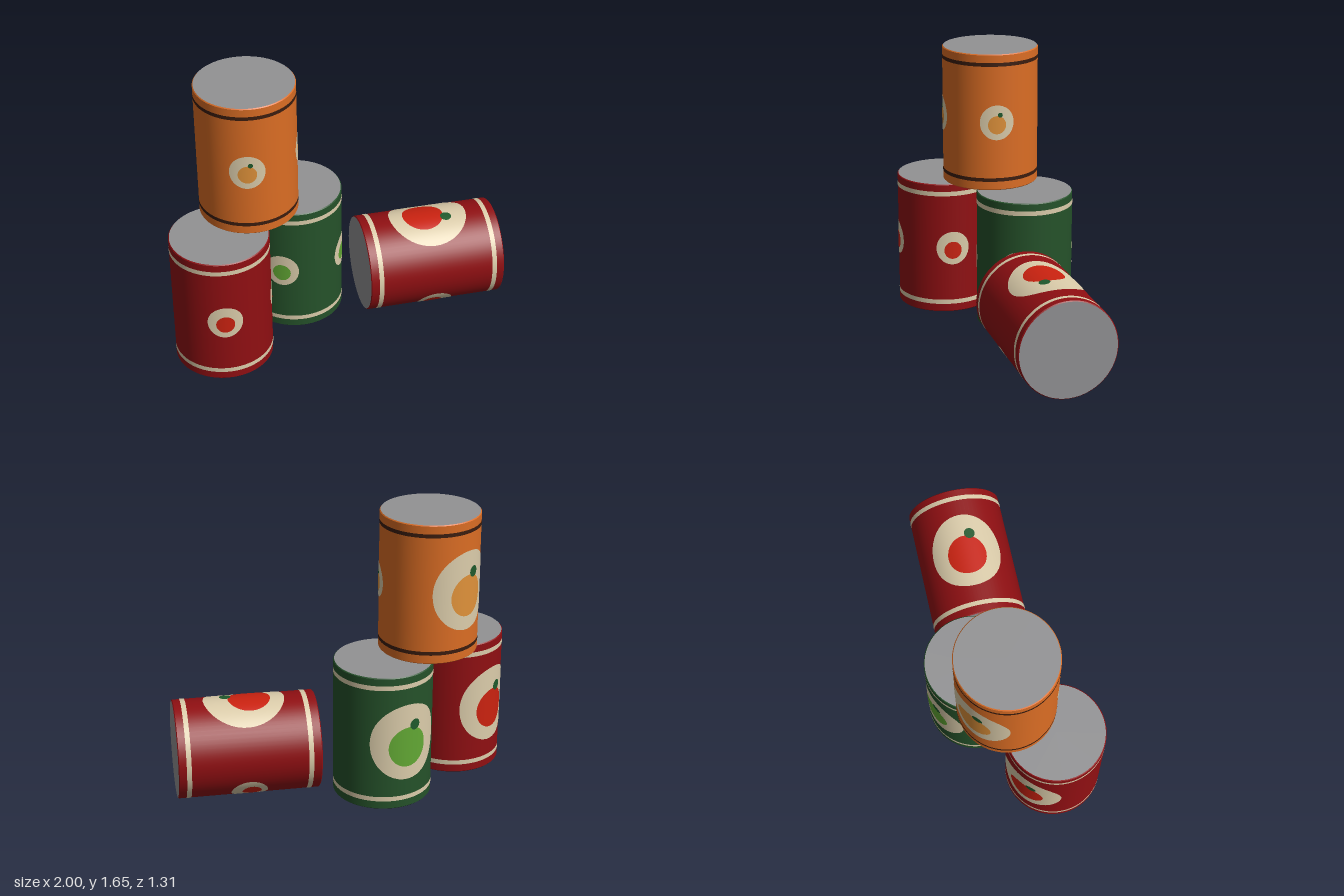
import * as THREE from 'three';

const R = 0.284, H = 0.818, BEVEL = 0.005, SEG = 72;

const paint = (name, color) => {
  const m = new THREE.MeshStandardMaterial({ color });
  m.name = name;
  return m;
};

// Wraps a flat disc around the can wall: x becomes arc length, y stays height.
function wrappedDisc(rx, ry, angle, dx, y, lift) {
  const geo = new THREE.RingGeometry(0, 1, 48, 8);
  const pos = geo.attributes.position, nor = geo.attributes.normal;
  const r = R + lift;
  for (let i = 0; i < pos.count; i++) {
    const a = angle + (pos.getX(i) * rx + dx) / R;
    const h = y + pos.getY(i) * ry;
    pos.setXYZ(i, r * Math.sin(a), h, r * Math.cos(a));
    nor.setXYZ(i, Math.sin(a), 0, Math.cos(a));
  }
  return geo;
}

export function createModel() {
  const red = paint('can red', 0x900f12);
  const green = paint('can green', 0x25522a);
  const orange = paint('can orange', 0xdb6d24);
  const cream = paint('label cream', 0xdccdab);
  const brown = paint('stripe brown', 0x3c1d0e);
  const metal = paint('lid grey', 0x929294);
  const redFruit = paint('fruit red', 0xcb2210);
  const greenFruit = paint('fruit green', 0x62a834);
  const orangeFruit = paint('fruit orange', 0xe0923a);
  const leaf = paint('leaf green', 0x1f5a2c);

  const add = (parent, name, geo, mat) => {
    const mesh = new THREE.Mesh(geo, mat);
    mesh.name = name;
    parent.add(mesh);
    return mesh;
  };

  // Badge: cream oval, fruit and leaf, stacked in thin layers
  function addBadge(can, name, angle, s, fruit, withLeaf) {
    const badge = new THREE.Group();
    badge.name = name;
    const y = H / 2 + 0.003;
    add(badge, 'badgeOval', wrappedDisc(0.225 * s, 0.233 * s, angle, 0, y, 0.002), cream);
    add(badge, 'fruit', wrappedDisc(0.118 * s, 0.122 * s, angle, 0, y - 0.03 * s, 0.0035), fruit);
    if (withLeaf) {
      add(badge, 'leaf', wrappedDisc(0.032 * s, 0.033 * s, angle, 0.04 * s, y + 0.103 * s, 0.005), leaf);
    }
    can.add(badge);
  }

  // Can standing on its base, with the large badge facing local +z
  function makeCan(name, wall, stripe, stripeWidth, fruit, smallLeaf) {
    const can = new THREE.Group();
    can.name = name;
    add(can, 'wall', new THREE.CylinderGeometry(R, R, H - 2 * BEVEL, SEG, 1, true), wall)
      .position.y = H / 2;
    for (const top of [true, false]) {
      // narrow bevelled edge
      const edge = new THREE.CylinderGeometry(top ? R - BEVEL : R, top ? R : R - BEVEL, BEVEL, SEG, 1, true);
      add(can, top ? 'topEdge' : 'bottomEdge', edge, wall)
        .position.y = top ? H - BEVEL / 2 : BEVEL / 2;
      // flat end
      const lid = add(can, top ? 'topLid' : 'bottomLid', new THREE.CircleGeometry(R - BEVEL, SEG), metal);
      lid.rotation.x = top ? -Math.PI / 2 : Math.PI / 2;
      lid.position.y = top ? H : 0;
      // painted stripe
      const band = new THREE.CylinderGeometry(R + 0.0015, R + 0.0015, stripeWidth, SEG, 1, true);
      add(can, top ? 'topStripe' : 'bottomStripe', band, stripe)
        .position.y = top ? H - 0.06 : 0.064;
    }
    addBadge(can, 'largeBadge', 0, 1, fruit, true);
    for (const side of [-1, 1]) {
      addBadge(can, 'smallBadge', side * THREE.MathUtils.degToRad(134), 0.45, fruit, smallLeaf);
    }
    return can;
  }

  const model = new THREE.Group();
  model.name = 'cannedFoodStack';

  // Upright cans, large badges turned to the back
  const place = (can, x, y, z, turn) => {
    can.position.set(x, y, z);
    can.rotation.y = THREE.MathUtils.degToRad(180 + turn);
    model.add(can);
  };
  place(makeCan('redCan', red, cream, 0.028, redFruit, false), -0.715, 0, -0.284, 8);
  place(makeCan('greenCan', green, cream, 0.028, greenFruit, false), -0.095, 0, -0.326, -13);
  place(makeCan('orangeCan', orange, brown, 0.022, orangeFruit, true), -0.405, 0.826, -0.368, 4);

  // Fallen can lying on its side, large badge up
  const fallen = makeCan('fallenCan', red, cream, 0.028, redFruit, false);
  const a = THREE.MathUtils.degToRad(32);
  const axis = new THREE.Vector3(Math.cos(a), 0, Math.sin(a));
  const across = new THREE.Vector3(-Math.sin(a), 0, Math.cos(a));
  fallen.quaternion.setFromRotationMatrix(
    new THREE.Matrix4().makeBasis(across, axis, new THREE.Vector3(0, 1, 0)));
  fallen.position.set(0.504, R, 0.195).addScaledVector(axis, -H / 2);
  model.add(fallen);

  return model;
}
